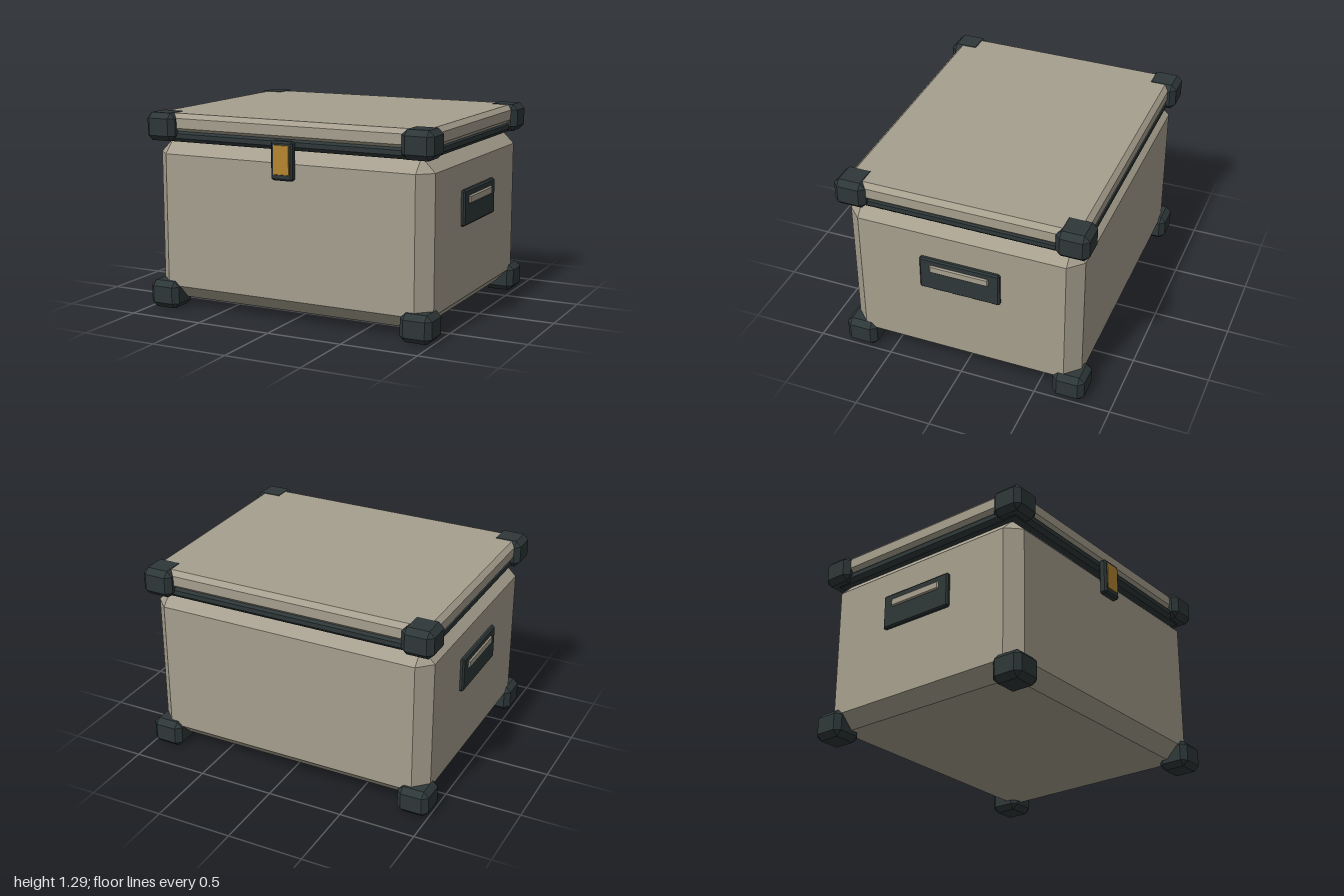
import * as THREE from 'three';
import { ConvexGeometry } from 'three/addons/geometries/ConvexGeometry.js';

// Box with every edge cut at 45 degrees; its 24 corners come from sign flips.
function chamferBox(w, h, d, c) {
  const half = [w / 2, h / 2, d / 2];
  const points = [];
  for (const sx of [-1, 1]) for (const sy of [-1, 1]) for (const sz of [-1, 1]) {
    for (let full = 0; full < 3; full++) {
      const [x, y, z] = half.map((v, i) => (i === full ? v : v - c));
      points.push(new THREE.Vector3(sx * x, sy * y, sz * z));
    }
  }
  return new ConvexGeometry(points);
}

export function createModel() {
  const shell = new THREE.MeshStandardMaterial({ name: 'warm grey shell', color: 0xa69f8e });
  const trim = new THREE.MeshStandardMaterial({ name: 'dark slate trim', color: 0x2e3738 });
  const brass = new THREE.MeshStandardMaterial({ name: 'brass', color: 0xb58631 });

  const crate = new THREE.Group();
  crate.name = 'storageCrate';

  // Adds a part from its centre in x and z and its lowest and highest y.
  function add(name, material, w, d, c, x, z, y0, y1) {
    const mesh = new THREE.Mesh(chamferBox(w, y1 - y0, d, c), material);
    mesh.name = name;
    mesh.position.set(x, (y0 + y1) / 2, z);
    crate.add(mesh);
    return mesh;
  }

  // Body, seal and lid
  add('body', shell, 1.93, 1.54, 0.09, 0, 0, 0.06, 1.11);
  add('seal', trim, 1.9, 1.53, 0.025, 0, 0, 1.1, 1.18);
  add('lid', shell, 1.93, 1.54, 0.03, 0, 0, 1.16, 1.284);

  // Corner guards on the lid and at the feet
  for (const sx of [-1, 1]) for (const sz of [-1, 1]) {
    add('footGuard', trim, 0.21, 0.21, 0.035, sx * 0.895, sz * 0.715, 0, 0.18);
    add('lidGuard', trim, 0.21, 0.21, 0.035, sx * 0.895, sz * 0.715, 1.106, 1.287);
  }

  // Side handles with a pale grip slot
  for (const sx of [-1, 1]) {
    const side = sx < 0 ? 'right' : 'left';
    add(side + 'Handle', trim, 0.04, 0.53, 0.01, sx * 0.97, 0, 0.62, 0.85);
    add(side + 'GripSlot', shell, 0.03, 0.39, 0.008, sx * 0.985, 0, 0.755, 0.81);
  }

  // Front latch and its brass plate
  add('latch', trim, 0.15, 0.055, 0.012, 0, 0.7895, 0.918, 1.163);
  add('latchPlate', brass, 0.11, 0.008, 0.002, 0, 0.816, 0.955, 1.14);

  return crate;
}
